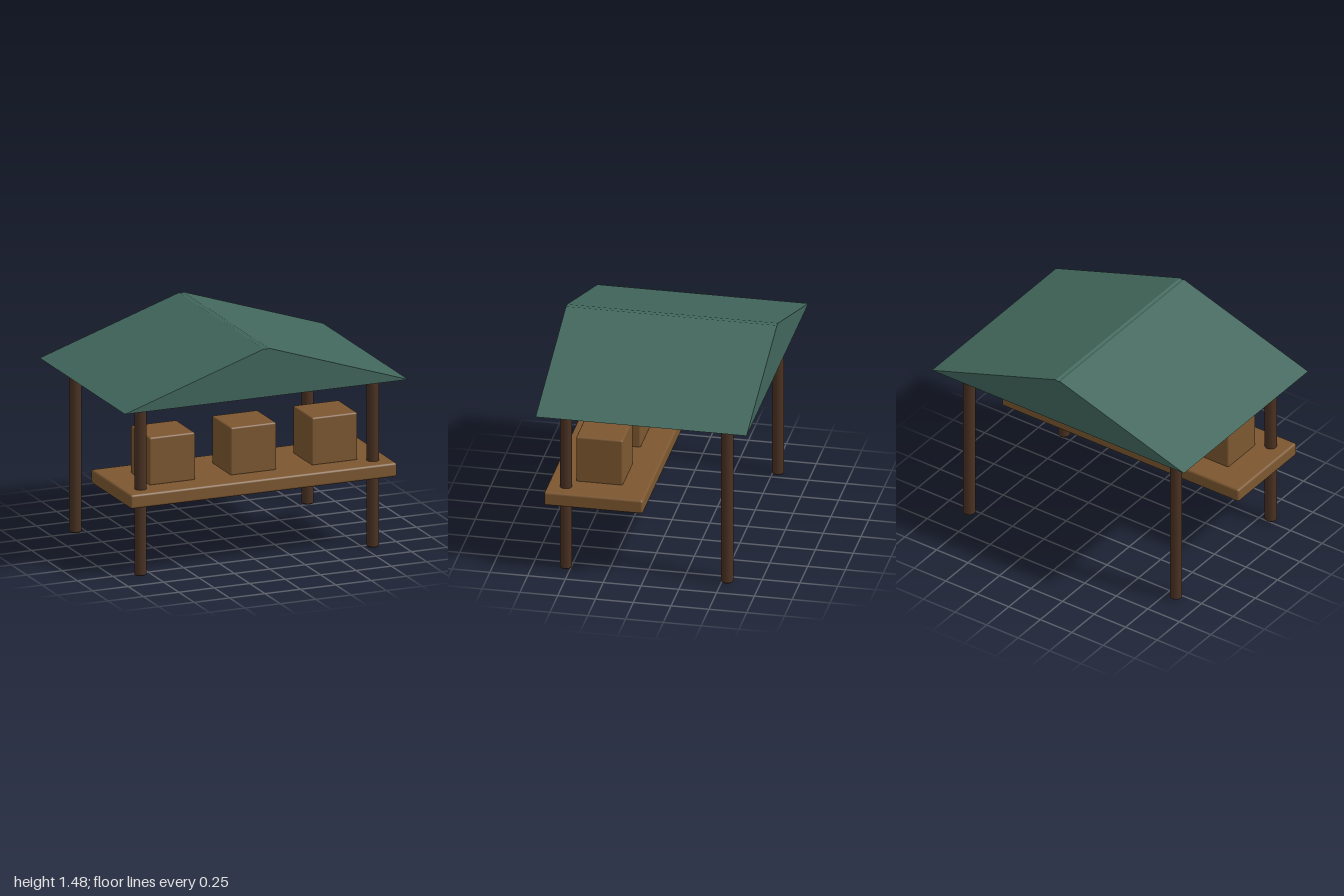
import * as THREE from 'three';
import { RoundedBoxGeometry } from 'three/addons/geometries/RoundedBoxGeometry.js';

const material = (name, color) => {
  const m = new THREE.MeshStandardMaterial({ color });
  m.name = name;
  return m;
};

export function createModel() {
  const group = new THREE.Group();
  group.name = 'marketStall';

  const roofGreen = material('roofGreen', 0x41665b);
  const wood = material('wood', 0x7c5730);
  const darkWood = material('darkWood', 0x4a3122);

  const add = (name, geometry, mat, x, y, z) => {
    const mesh = new THREE.Mesh(geometry, mat);
    mesh.name = name;
    mesh.position.set(x, y, z);
    group.add(mesh);
  };

  // Four round posts with slightly eased ends
  const r = 0.04, height = 1.15, ease = 0.006;
  const postProfile = [
    [0, 0], [r - ease, 0], [r - ease, 0], [r, ease], [r, ease],
    [r, height - ease], [r, height - ease], [r - ease, height], [r - ease, height], [0, height],
  ].map(([x, y]) => new THREE.Vector2(x, y));
  const post = new THREE.LatheGeometry(postProfile, 20);
  for (const x of [-0.82, 0.82]) {
    for (const z of [-0.533, 0.533]) add('post', post, darkWood, x, 0, z);
  }

  // Counter board at the front
  add('counter', new RoundedBoxGeometry(1.88, 0.094, 0.654, 2, 0.015), wood, 0, 0.535, 0.328);

  // Three crates on the counter
  const crate = new RoundedBoxGeometry(0.324, 0.325, 0.31, 2, 0.012);
  for (const x of [-0.573, 0, 0.573]) add('crate', crate, wood, x, 0.7385, 0.33);

  // Solid gabled roof with a shallow groove along the ridge
  const gable = new THREE.Shape([
    [-1, 1.15], [1, 1.15], [0.017, 1.477], [0, 1.472], [-0.017, 1.477],
  ].map(([x, y]) => new THREE.Vector2(x, y)));
  const roof = new THREE.ExtrudeGeometry(gable, { depth: 1.396, bevelEnabled: false });
  add('roof', roof, roofGreen, 0, 0, -0.698);

  return group;
}
